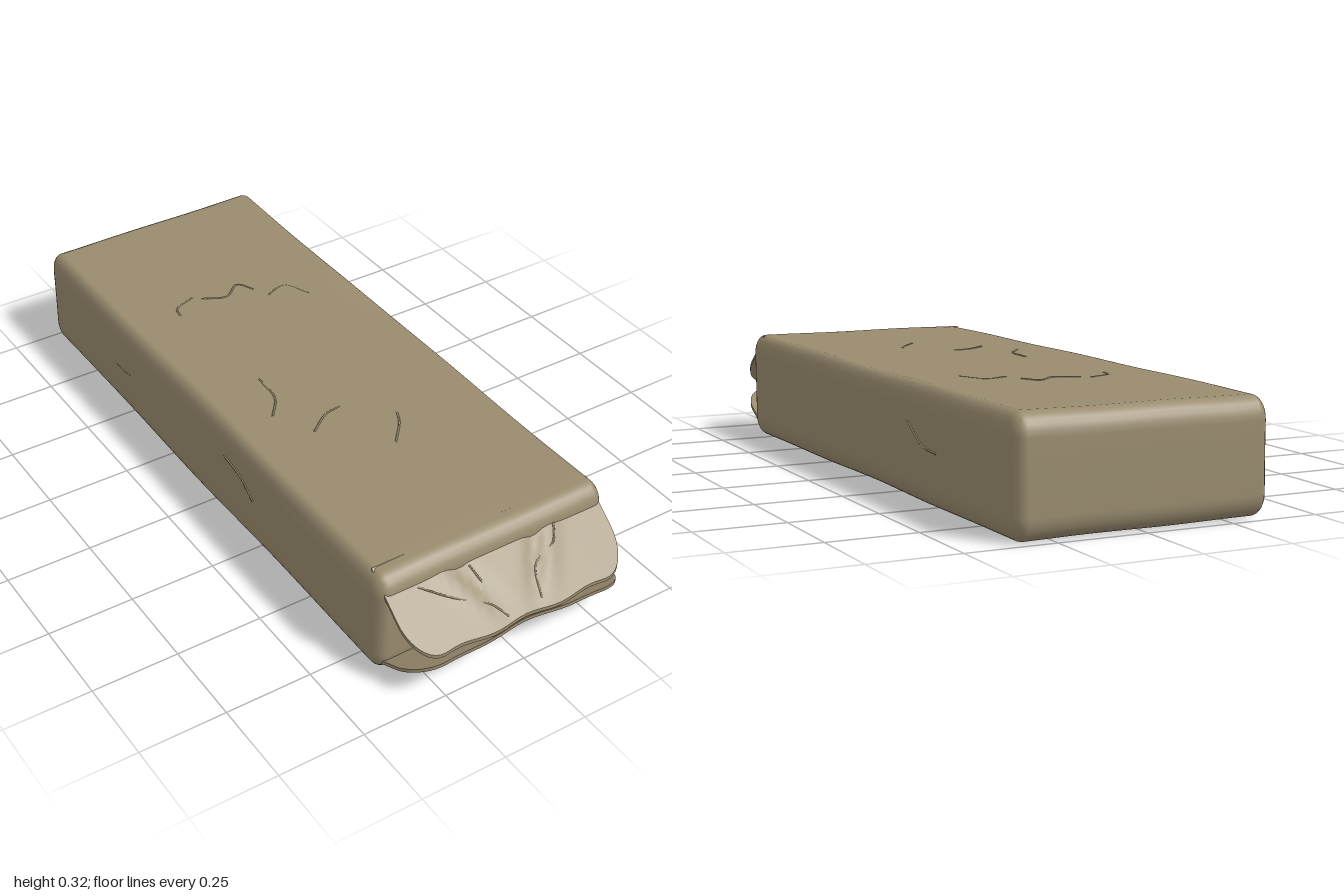
import * as THREE from 'three';
import { mergeVertices, toCreasedNormals } from 'three/addons/utils/BufferGeometryUtils.js';

const TOP = 0.317, START = 0.79, REACH = 0.21, HALF = 0.343;

// Wrapped block: a box grid with soft elliptical edges and slightly uneven faces
function blockGeometry() {
  const half = [0.362, TOP / 2, 0.928], radius = [0.034, 0.062, 0.05], seg = [16, 10, 36], edge = 3;
  let g = new THREE.BoxGeometry(2, 2, 2, ...seg);
  g.deleteAttribute('normal');
  g.deleteAttribute('uv');
  g = mergeVertices(g);
  const p = g.attributes.position;
  for (let i = 0; i < p.count; i++) {
    const inner = [], d = [];
    for (let a = 0; a < 3; a++) {
      const t = p.getComponent(i, a), n = seg[a] / 2;
      const k = Math.abs(t) * n, flat = n - edge, s = Math.sign(t), core = half[a] - radius[a];
      inner[a] = s * core * Math.min(1, k / flat);
      d[a] = s * Math.tan(Math.max(0, (k - flat) / edge) * Math.PI / 4);
    }
    const len = Math.hypot(...d) || 1;
    const [x, y, z] = inner.map((v, a) => v + d[a] / len * radius[a]);
    const sag = 0.002 * Math.sin(z * 7 + x * 5) * Math.cos(x * 9 - z * 3);
    p.setXYZ(i, x + 0.002 * Math.sin(z * 6 + y * 9), y + TOP / 2 + sag * Math.sign(y), z - 0.072);
  }
  g.computeVertexNormals();
  return g;
}

// Length of a flap at x, with rounded outer corners
function flapLength(x) {
  const t = Math.min(1, Math.max(0, (Math.abs(x) - 0.25) / (HALF - 0.25)));
  return REACH - 0.095 * (1 - Math.sqrt(1 - t * t)) - 0.004 * Math.cos(x * 30);
}

// Outer surface heights: the upper flap is pleated toward its tip
function upperHeight(x, z) {
  const v = (z - START) / REACH, a = Math.abs(x);
  const valley = 0.03 + 0.13 * (1 - v);
  const pleat = Math.exp(-(((a - valley) / 0.022) ** 2)) - 0.6 * Math.exp(-(((a - valley - 0.05) / 0.03) ** 2));
  return TOP - 0.167 * v - 0.01 * pleat * Math.sin(Math.PI * Math.min(1, v));
}
function lowerHeight(x, z) {
  const v = (z - START) / REACH;
  return 0.004 + (0.103 + 0.022 * Math.exp(-((x / 0.13) ** 2))) * v;
}

// Thin folded flap swept across x as closed cross-section loops
function flapGeometry(height, side) {
  const nu = 48, nv = 10, ring = 2 * (nv + 1), pos = [], idx = [];
  for (let i = 0; i <= nu; i++) {
    const x = HALF * Math.sin((i / nu - 0.5) * Math.PI), len = flapLength(x);
    for (let j = 0; j < ring; j++) {
      const outer = j <= nv, v = (outer ? j : ring - 1 - j) / nv;
      const z = START + v * len;
      pos.push(x, height(x, z) - (outer ? 0 : side * 0.011), z);
    }
  }
  const tri = (a, b, c) => side > 0 ? idx.push(a, b, c) : idx.push(a, c, b);
  for (let i = 0; i < nu; i++) for (let j = 0; j < ring; j++) {
    const a = i * ring + j, b = i * ring + (j + 1) % ring;
    tri(a, b, a + ring);
    tri(b, b + ring, a + ring);
  }
  for (let j = 0; j < nv; j++) for (const s of [0, nu * ring]) {
    const a = s + j, b = a + 1, c = s + ring - 2 - j, d = c + 1;
    if (s) { tri(a, b, d); tri(b, c, d); } else { tri(a, d, b); tri(b, d, c); }
  }
  const g = new THREE.BufferGeometry();
  g.setAttribute('position', new THREE.Float32BufferAttribute(pos, 3));
  g.setIndex(idx);
  return toCreasedNormals(g, 0.6);
}

export function createModel() {
  const group = new THREE.Group();
  const paper = new THREE.MeshStandardMaterial({ color: 0x998b6e, side: THREE.DoubleSide });
  paper.name = 'tan wrapping paper';
  const add = (geometry, name) => {
    const mesh = new THREE.Mesh(geometry, paper);
    mesh.name = name;
    group.add(mesh);
  };
  add(blockGeometry(), 'wrappedBlock');
  add(flapGeometry(upperHeight, 1), 'upperFlap');
  add(flapGeometry(lowerHeight, -1), 'lowerFlap');

  // Fine raised wrinkles
  const wrinkle = (points, name) => {
    const curve = new THREE.CatmullRomCurve3(points.map(q => new THREE.Vector3(...q)));
    add(new THREE.TubeGeometry(curve, 16, 0.003, 5), name);
  };
  const topLines = [
    [[-0.19, -0.45], [-0.18, -0.49], [-0.11, -0.52]],
    [[-0.09, -0.50], [-0.02, -0.47], [0.04, -0.51], [0.07, -0.46]],
    [[0.09, -0.41], [0.16, -0.43], [0.20, -0.35]],
    [[-0.16, -0.05], [-0.17, 0.05], [-0.22, 0.12]],
    [[-0.16, 0.24], [-0.09, 0.19], [-0.04, 0.18]],
    [[0.0, 0.40], [0.06, 0.33], [0.08, 0.29]],
  ];
  for (const line of topLines) wrinkle(line.map(([x, z]) => [x, TOP, z]), 'topWrinkle');
  const sideLines = [
    [[0.16, 0.24], [0.20, 0.18], [0.22, 0.09]],
    [[0.21, -0.37], [0.16, -0.46], [0.15, -0.55]],
  ];
  for (const s of [-1, 1]) for (const line of sideLines)
    wrinkle(line.map(([y, z]) => [s * 0.361, y, z]), 'sideWrinkle');
  const flapLines = [
    [[-0.25, 0.86], [-0.17, 0.91], [-0.08, 0.95], [-0.05, 0.985]],
    [[-0.09, 0.86], [-0.075, 0.90]],
    [[0.19, 0.85], [0.16, 0.89], [0.09, 0.91], [0.06, 0.98]],
  ];
  for (const line of flapLines) wrinkle(line.map(([x, z]) => [x, upperHeight(x, z), z]), 'flapWrinkle');
  return group;
}
